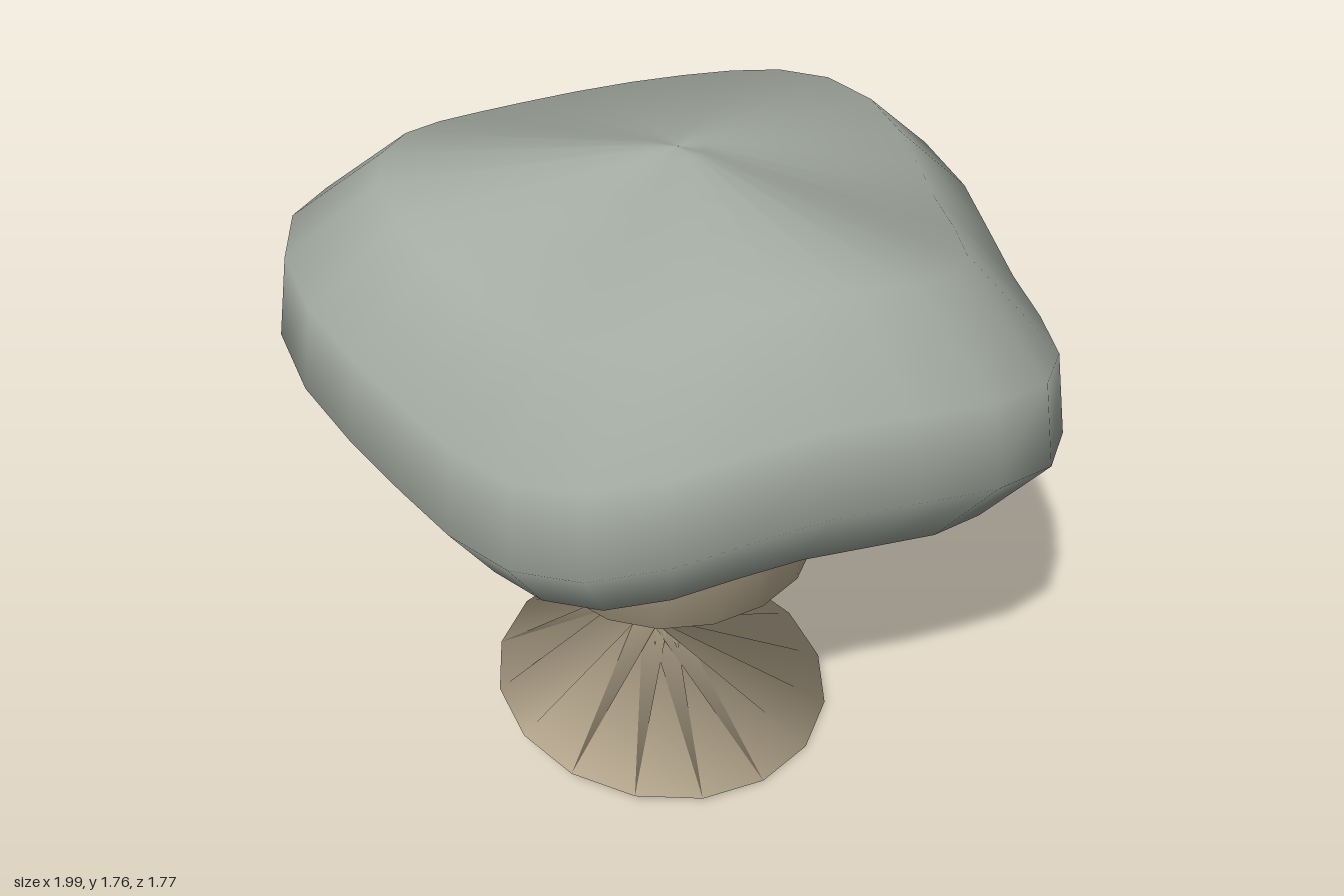
import * as THREE from 'three';

// Skin a stack of closed rings; point(row, angle, i) returns [x, y, z]
function loft(rows, sides, point) {
  const pos = [], index = [];
  for (let k = 0; k < rows; k++)
    for (let i = 0; i < sides; i++) pos.push(...point(k, (i / sides) * Math.PI * 2, i));
  for (let k = 0; k < rows - 1; k++)
    for (let i = 0; i < sides; i++) {
      const j = (i + 1) % sides;
      const a = k * sides + i, b = k * sides + j, c = a + sides, d = b + sides;
      index.push(a, c, b, b, c, d);
    }
  const geo = new THREE.BufferGeometry();
  geo.setAttribute('position', new THREE.Float32BufferAttribute(pos, 3));
  geo.setIndex(index);
  geo.computeVertexNormals();
  return geo;
}

function part(name, geometry, color) {
  const material = new THREE.MeshStandardMaterial({ color, side: THREE.DoubleSide });
  const mesh = new THREE.Mesh(geometry, material);
  mesh.name = name;
  return mesh;
}

export function createModel() {
  const group = new THREE.Group();
  group.name = 'mushroomTree';

  // Trunk: underside centre, foot, shoulder and top rings; the half turn
  // above the foot wrings it into a waist, and one groove runs up the back
  const rings = [
    { c: [-0.05, 0.055, 0.01], r: 0.001, tiltX: -0.12, tiltZ: 0, turn: 0, groove: 1 },
    { c: [-0.05, 0.055, 0.01], r: 0.47, tiltX: -0.12, tiltZ: 0, turn: 0, groove: 1 },
    { c: [0.01, 0.565, 0.01], r: 0.36, tiltX: 0.07, tiltZ: -0.03, turn: Math.PI, groove: 0.65 },
    { c: [-0.115, 0.93, 0.02], r: 0.495, tiltX: 0, tiltZ: 0, turn: Math.PI, groove: 0.8 },
  ];
  const trunk = loft(rings.length, 16, (k, a, i) => {
    const { c, r, tiltX, tiltZ, turn, groove } = rings[k];
    const s = i === 5 ? r * groove : r;
    const x = s * Math.cos(a + turn), z = s * Math.sin(a + turn);
    return [c[0] + x, c[1] + x * tiltX + z * tiltZ, c[2] + z];
  });
  group.add(part('trunk', trunk, 0xc8b89c));

  // Canopy: squashed profile [radius factor, height], five lobes, three-fold wave in height
  const profile = [
    [0.001, 0.88], [0.5, 0.84], [0.84, 0.99], [1, 1.2],
    [0.965, 1.42], [0.72, 1.63], [0.07, 1.75], [0.001, 1.752],
  ];
  const canopy = loft(profile.length, 30, (k, a) => {
    const [f, y] = profile[k];
    const r = f * (0.92 + 0.06 * Math.cos(2 * a) + 0.015 * Math.cos(4 * a)
      + 0.035 * Math.cos(5 * a) - 0.025 * Math.cos(a));
    return [r * Math.cos(a), y + 0.085 * r * Math.sin(3 * a), r * Math.sin(a)];
  });
  group.add(part('canopy', canopy, 0xa3aaa1));

  return group;
}
